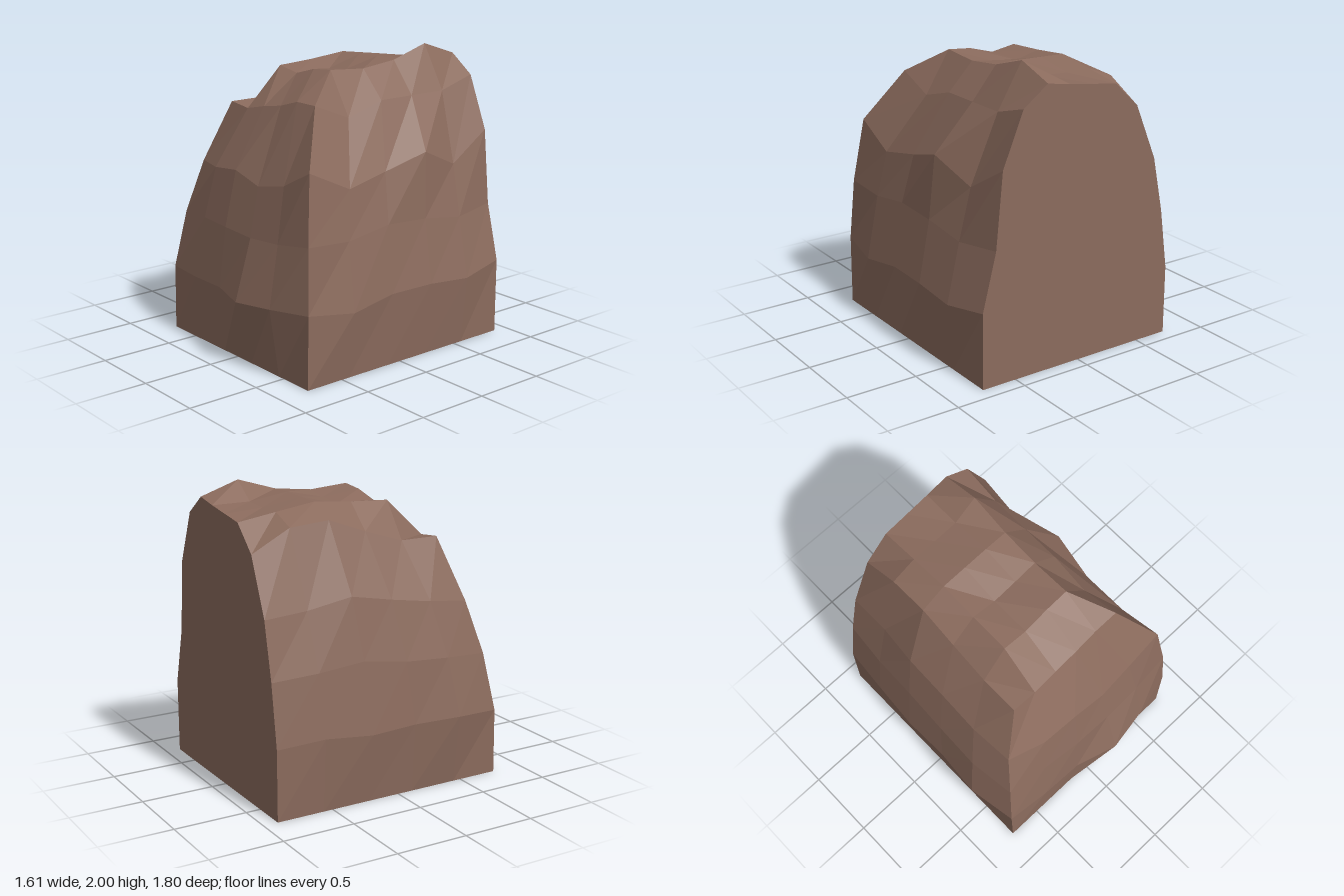
import * as THREE from 'three';

const BACK = -0.9, N = 5;
const lerp = THREE.MathUtils.lerp;

// Rings run back to front on the right (-x), across the front, then front to back on the left (+x).
// bx: back corner x (right, left); fx, fz: front corner x and z (right, left);
// y: heights; out: outward bulge of each point.
const RINGS = [
  { bx: [-0.74, 0.75], fx: [-0.74, 0.75], fz: [0.78, 0.78], y: new Array(16).fill(0), out: new Array(16).fill(0) },
  { bx: [-0.74, 0.75], fx: [-0.745, 0.75], fz: [0.77, 0.775],
    y: [0.48, 0.5, 0.47, 0.48, 0.48, 0.45, 0.45, 0.455, 0.45, 0.47, 0.49, 0.45, 0.5, 0.5, 0.47, 0.52],
    out: [0, 0.03, 0.05, 0.04, 0.065, 0, 0.03, 0.04, 0.125, 0.075, 0, 0.05, 0.035, 0.045, 0.045, 0] },
  { bx: [-0.68, 0.65], fx: [-0.69, 0.72], fz: [0.7, 0.75],
    y: [0.9, 0.92, 0.95, 0.9, 0.88, 0.85, 0.87, 0.87, 0.86, 0.88, 0.92, 0.9, 0.95, 0.93, 0.88, 0.91],
    out: [0, 0.03, 0.04, 0.045, 0.05, 0, 0.03, 0.05, 0.045, 0.03, 0, 0.015, 0.03, 0.04, 0.04, 0] },
  { bx: [-0.6, 0.6], fx: [-0.61, 0.66], fz: [0.6, 0.69],
    y: [1.28, 1.3, 1.36, 1.3, 1.25, 1.21, 1.22, 1.25, 1.19, 1.24, 1.37, 1.22, 1.28, 1.37, 1.23, 1.42],
    out: [0, 0, 0.035, 0.03, 0.03, 0, 0.06, 0.06, 0.05, 0.02, 0, 0.02, 0.01, 0.06, 0.01, 0] },
];

// Crown heights: rows run back to front, columns from -x to +x.
const CROWN_X = [-0.44, -0.26, -0.08, 0.1, 0.27, 0.45];
const CROWN_Z = [-0.9, -0.63, -0.35, -0.08, 0.2, 0.475];
const CROWN_Y = [
  [1.66, 1.83, 1.855, 1.88, 1.91, 1.78],
  [1.80, 1.87, 1.87, 1.88, 2.0, 1.7],
  [1.82, 1.91, 1.915, 1.92, 1.915, 1.7],
  [1.72, 1.885, 1.84, 1.86, 1.885, 1.7],
  [1.63, 1.87, 1.84, 1.89, 1.905, 1.62],
  [1.63, 1.61, 1.65, 1.68, 1.73, 1.73],
];

function ringPoint(r, i) {
  const y = r.y[i], o = r.out[i];
  if (i <= N) {
    const t = i / N;
    return [lerp(r.bx[0], r.fx[0], t) - o, y, lerp(BACK, r.fz[0], t)];
  }
  if (i < 2 * N) {
    const t = (i - N) / N;
    return [lerp(r.fx[0], r.fx[1], t), y, lerp(r.fz[0], r.fz[1], t) + o];
  }
  const t = (i - 2 * N) / N;
  return [lerp(r.fx[1], r.bx[1], t) + o, y, lerp(r.fz[1], BACK, t)];
}

const crownPoint = (row, col) => [CROWN_X[col], CROWN_Y[row][col], CROWN_Z[row]];

function crownRim(i) {
  if (i <= N) return crownPoint(i, 0);
  if (i < 2 * N) return crownPoint(N, i - N);
  return crownPoint(3 * N - i, N);
}

const quad = (out, a, b, c, d) => out.push(...a, ...b, ...c, ...a, ...c, ...d);

function makeMesh(name, positions, material) {
  const g = new THREE.BufferGeometry();
  g.setAttribute('position', new THREE.Float32BufferAttribute(positions, 3));
  g.computeVertexNormals(); // unshared corners give flat facets
  const mesh = new THREE.Mesh(g, material);
  mesh.name = name;
  return mesh;
}

export function createModel() {
  const group = new THREE.Group();
  group.name = 'rock';
  const stone = new THREE.MeshStandardMaterial({ color: 0x8b6b5d, side: THREE.DoubleSide, flatShading: true });
  stone.name = 'brownStone';

  // Faceted walls on three sides, open underneath
  const loops = RINGS.map((r) => Array.from({ length: 3 * N + 1 }, (_, i) => ringPoint(r, i)));
  loops.push(Array.from({ length: 3 * N + 1 }, (_, i) => crownRim(i)));
  const walls = [];
  for (let k = 0; k < loops.length - 1; k++) {
    for (let i = 0; i < 3 * N; i++) {
      quad(walls, loops[k][i], loops[k][i + 1], loops[k + 1][i + 1], loops[k + 1][i]);
    }
  }
  group.add(makeMesh('rockWalls', walls, stone));

  // Uneven crown
  const crown = [];
  for (let r = 0; r < N; r++) {
    for (let c = 0; c < N; c++) {
      quad(crown, crownPoint(r, c), crownPoint(r + 1, c), crownPoint(r + 1, c + 1), crownPoint(r, c + 1));
    }
  }
  group.add(makeMesh('rockCrown', crown, stone));

  // Flat back, a fan from the middle of the base
  const outline = [
    ...loops.map((l) => l[0]),
    ...CROWN_X.slice(1, N).map((_, i) => crownPoint(0, i + 1)),
    ...loops.map((l) => l[3 * N]).reverse(),
  ];
  const back = [];
  for (let i = 0; i < outline.length - 1; i++) back.push(0, 0, BACK, ...outline[i], ...outline[i + 1]);
  group.add(makeMesh('flatBack', back, stone));

  return group;
}
